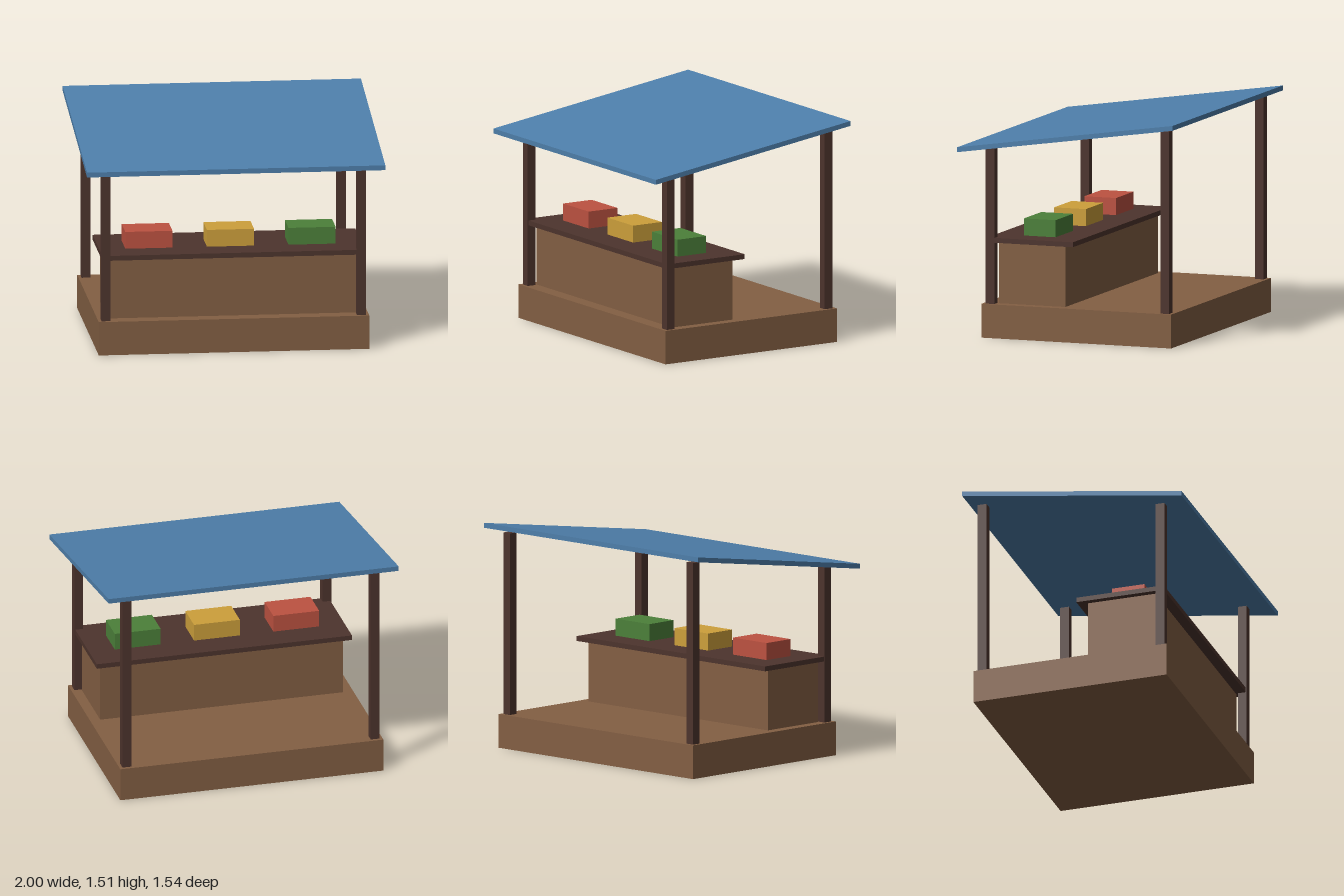
import * as THREE from 'three';

const paint = (name, color) => {
  const m = new THREE.MeshStandardMaterial({ color });
  m.name = name;
  return m;
};

// Box given by its extents on each axis
function block(name, material, [x0, x1], [y0, y1], [z0, z1]) {
  const mesh = new THREE.Mesh(new THREE.BoxGeometry(x1 - x0, y1 - y0, z1 - z0), material);
  mesh.position.set((x0 + x1) / 2, (y0 + y1) / 2, (z0 + z1) / 2);
  mesh.name = name;
  return mesh;
}

export function createModel() {
  const wood = paint('wood', 0x835f43);
  const darkWood = paint('darkWood', 0x4d342d);
  const roofBlue = paint('roofBlue', 0x4e7fab);
  const red = paint('red', 0xbd5241);
  const yellow = paint('yellow', 0xcda03b);
  const green = paint('green', 0x4c803a);

  const stall = new THREE.Group();
  stall.name = 'marketStall';

  // Platform and counter
  stall.add(block('platform', wood, [-0.907, 0.907], [0, 0.228], [-0.725, 0.635]));
  stall.add(block('counter', wood, [-0.838, 0.838], [0.228, 0.64], [0.06, 0.535]));
  stall.add(block('counterTop', darkWood, [-0.88, 0.88], [0.64, 0.673], [-0.01, 0.605]));

  // Corner posts, taller at the back
  for (const side of [-1, 1]) {
    const x = side * 0.856;
    const span = [x - 0.03, x + 0.03];
    stall.add(block('frontPost', darkWood, span, [0.228, 1.275], [0.55, 0.612]));
    stall.add(block('backPost', darkWood, span, [0.228, 1.455], [-0.702, -0.64]));
  }

  // Goods crates
  [red, yellow, green].forEach((material, i) => {
    const x = (i - 1) * 0.547;
    stall.add(block('crate', material, [x - 0.158, x + 0.158], [0.673, 0.788], [0.183, 0.41]));
  });

  // Sloping roof: a slab sheared upward to the back, keeping its ends upright
  const slab = new THREE.BoxGeometry(2, 0.033, 1.544);
  const p = slab.attributes.position;
  for (let i = 0; i < p.count; i++) p.setY(i, p.getY(i) - p.getZ(i) * 0.147);
  slab.computeVertexNormals();
  const roof = new THREE.Mesh(slab, roofBlue);
  roof.position.y = 1.385;
  roof.name = 'roof';
  stall.add(roof);

  return stall;
}
